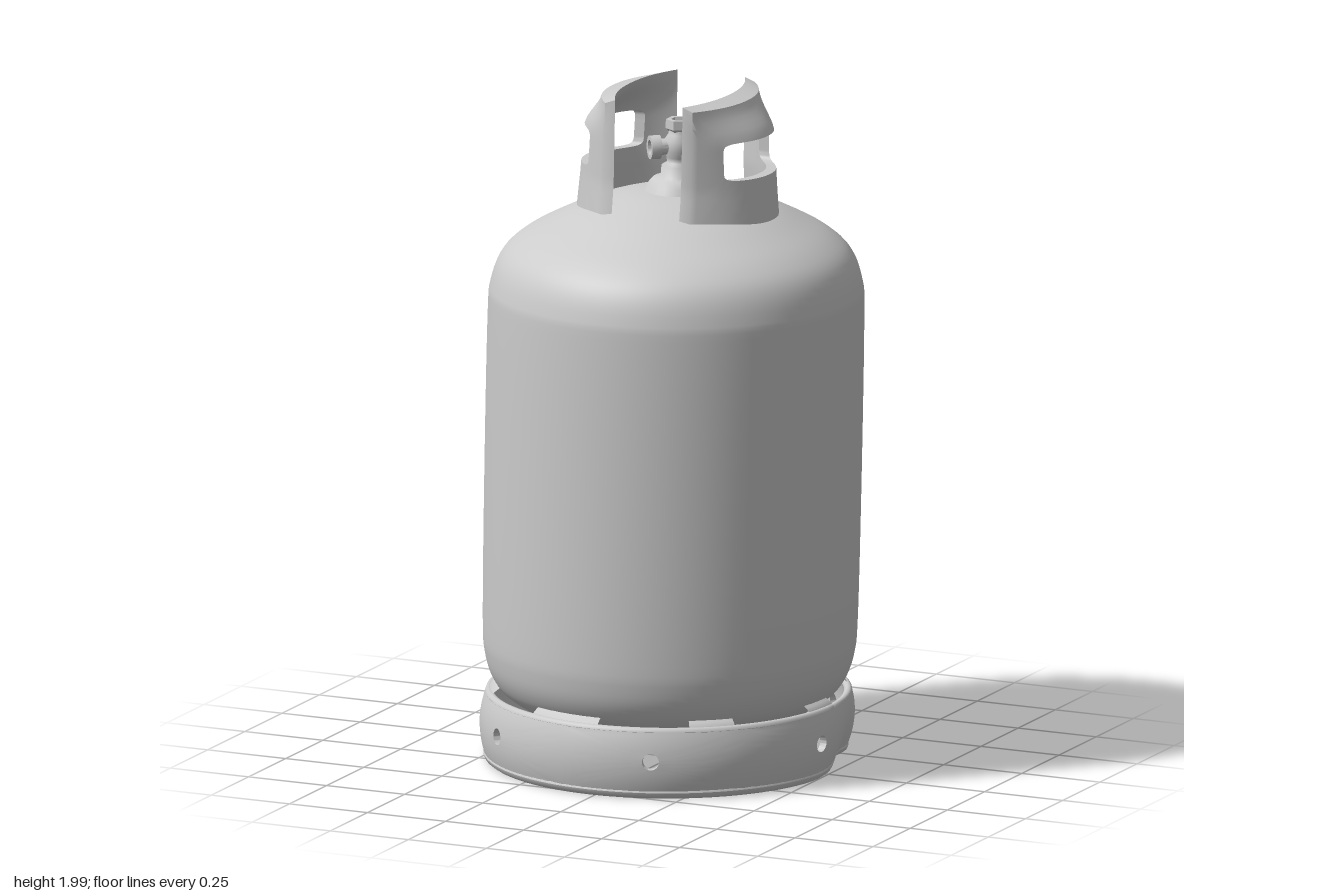
import * as THREE from 'three';
import { mergeVertices, mergeGeometries, toCreasedNormals } from 'three/addons/utils/BufferGeometryUtils.js';

const material = new THREE.MeshStandardMaterial({ color: 0xcccccc, side: THREE.DoubleSide });
const RAD = Math.PI / 180;

function addPart(parent, name, geometry) {
  // the whole vessel leans very slightly sideways
  const p = geometry.attributes.position;
  for (let i = 0; i < p.count; i++) p.setX(i, p.getX(i) + (p.getY(i) - 0.75) * 0.02);
  const mesh = new THREE.Mesh(geometry, material);
  mesh.name = name;
  parent.add(mesh);
  return mesh;
}

const vectors = (pts) => pts.map(([x, y]) => new THREE.Vector2(x, y));

// Thick bent plate with one rounded hole; map(u, y, side) bends it into place
function plateWithHole({ halfWidth, y0, y1, hole, closed, map }) {
  const perSide = 16, n = perSide * 4, rows = 6;
  const corners = [[-1, -1], [1, -1], [1, 1], [-1, 1]];
  const layers = [];
  for (let i = 0; i <= rows; i++) layers.push([i / rows, 0]);
  for (let i = rows; i >= 0; i--) layers.push([i / rows, 1]);
  if (closed) layers.push([0, 0]);
  const pos = [], index = [];
  layers.forEach(([t, side], row) => {
    for (let j = 0; j < n; j++) {
      const c = Math.floor(j / perSide), f = (j % perSide) / perSide;
      const a = corners[c], b = corners[(c + 1) % 4];
      const px = a[0] + (b[0] - a[0]) * f, py = a[1] + (b[1] - a[1]) * f;
      const k = Math.pow(Math.abs(px) ** hole.k + Math.abs(py) ** hole.k, 1 / hole.k);
      const u = THREE.MathUtils.lerp(px * halfWidth, (px / k) * hole.w, t);
      const y = THREE.MathUtils.lerp(py > 0 ? y0 + (y1 - y0) * (py + 1) / 2 : y0 + (y1 - y0) * (py + 1) / 2,
        hole.y + (py / k) * hole.h, t);
      pos.push(...map(u, y, side));
      if (row < layers.length - 1) {
        const p = row * n + j, q = row * n + (j + 1) % n;
        index.push(p, q, p + n, q, q + n, p + n);
      }
    }
  });
  const g = new THREE.BufferGeometry();
  g.setAttribute('position', new THREE.Float32BufferAttribute(pos, 3));
  g.setIndex(index);
  return g;
}

// Dent in one side of the foot ring, strongest at the bottom
function dent(g) {
  const p = g.attributes.position;
  for (let i = 0; i < p.count; i++) {
    const x = p.getX(i), y = p.getY(i), z = p.getZ(i);
    const a = Math.atan2(x, z) / RAD;
    const w = Math.exp(-(((a - 105) / 14) ** 2)) * Math.max(0, (0.22 - y) / 0.2);
    p.setXYZ(i, x * (1 - 0.07 * w), y + 0.015 * w, z * (1 - 0.07 * w));
  }
  return g;
}

function buildFootRing() {
  const ring = new THREE.Group();
  ring.name = 'footRing';

  // wall: six sections, each with a drain hole
  const sections = [];
  for (let i = 0; i < 6; i++) {
    const centre = (20 + i * 60) * RAD;
    sections.push(plateWithHole({
      halfWidth: 30 * RAD, y0: 0.03, y1: 0.21, closed: false,
      hole: { y: 0.125, w: 0.045, h: 0.024, k: 2 },
      map: (u, y, side) => {
        const r = 0.546 - 1.9 * (y - 0.12) ** 2 - side * 0.022;
        return [r * Math.sin(centre + u), y, r * Math.cos(centre + u)];
      },
    }));
  }
  const wall = mergeVertices(dent(mergeGeometries(sections)), 1e-4);
  addPart(ring, 'footRingWall', toCreasedNormals(wall, 0.8));

  // rolled lower and upper edges
  for (const [name, r, tube, y] of [['lowerRim', 0.515, 0.019, 0.03], ['upperRim', 0.519, 0.012, 0.21]]) {
    const g = new THREE.TorusGeometry(r, tube, 10, 96).rotateX(Math.PI / 2).translate(0, y, 0);
    dent(g).computeVertexNormals();
    addPart(ring, name, g);
  }

  // bridges joining ring to vessel, leaving open slots between them
  const slots = [-39, 17, 62, 106, 158, 210, 262];
  slots.forEach((s, i) => {
    const start = s + 15, end = (slots[i + 1] ?? slots[0] + 360) - 15;
    const profile = vectors([[0.523, 0.2], [0.522, 0.218], [0.505, 0.232], [0.48, 0.25]]);
    addPart(ring, 'ringBridge', new THREE.LatheGeometry(profile, 12, start * RAD, (end - start) * RAD));
  });
  return ring;
}

// Curved guard plate with a hand opening; s is the side it stands on
function buildHandle(s) {
  const bulge = (y) => {
    const t = THREE.MathUtils.clamp((y - 1.62) / 0.38, 0, 1);
    return 0.165 - 0.03 * t - 0.06 * THREE.MathUtils.smoothstep(y, 1.88, 2);
  };
  const g = plateWithHole({
    halfWidth: 0.21, y0: 1.6, y1: 1.99, closed: true,
    hole: { y: 1.834, w: 0.152, h: 0.056, k: 9 },
    map: (u, y, side) => {
      const flare = 1 + 0.08 * Math.max(0, (1.75 - y) / 0.15);
      const e = 1 - Math.abs(u / 0.21) ** 2.2;
      const thick = 0.032 + 0.025 * THREE.MathUtils.smoothstep(y, 1.88, 1.98) * e;
      const x = 0.14 + bulge(y) * e - side * thick;
      const top = y > 1.9 ? 0.012 * side * (y - 1.9) / 0.09 : 0;
      return [s * x, y + top, u * flare];
    },
  });
  return toCreasedNormals(mergeVertices(g, 1e-4), 0.7);
}

function buildValve() {
  const valve = new THREE.Group();
  valve.name = 'valve';
  const stem = vectors([[0.11, 1.68], [0.09, 1.72], [0.075, 1.738], [0.052, 1.745], [0.05, 1.775], [0.034, 1.785],
    [0.036, 1.8], [0.044, 1.82], [0.044, 1.85], [0.032, 1.868], [0.03, 1.885]]);
  addPart(valve, 'valveStem', new THREE.LatheGeometry(stem, 28));
  // hexagonal cap with a recess
  const cap = vectors([[0.03, 1.875], [0.04, 1.885], [0.04, 1.912], [0.024, 1.912], [0.02, 1.89], [0, 1.89]]);
  addPart(valve, 'valveCap', toCreasedNormals(new THREE.LatheGeometry(cap, 6), 0.4));
  // sideways outlet
  const outlet = vectors([[0.024, 0], [0.024, 0.055], [0.035, 0.058], [0.035, 0.088], [0.022, 0.088], [0.02, 0.07], [0, 0.07]]);
  const g = toCreasedNormals(new THREE.LatheGeometry(outlet, 16), 0.6);
  g.rotateX(Math.PI / 2).rotateY(-50 * RAD).translate(0, 1.832, 0);
  addPart(valve, 'valveOutlet', g);
  return valve;
}

export function createModel() {
  const model = new THREE.Group();
  model.name = 'gasCylinder';

  // pressure vessel with domed ends
  const profile = new THREE.SplineCurve(vectors([[0, 0.1], [0.2, 0.115], [0.37, 0.155], [0.465, 0.205], [0.51, 0.255],
    [0.535, 0.33], [0.543, 0.45], [0.546, 0.9], [0.545, 1.33], [0.538, 1.43], [0.508, 1.51], [0.45, 1.565],
    [0.36, 1.615], [0.26, 1.66], [0.13, 1.698], [0, 1.71]]));
  addPart(model, 'vessel', new THREE.LatheGeometry(profile.getPoints(75), 80));

  model.add(buildFootRing());
  addPart(model, 'leftHandle', buildHandle(1));
  addPart(model, 'rightHandle', buildHandle(-1));
  model.add(buildValve());
  return model;
}
